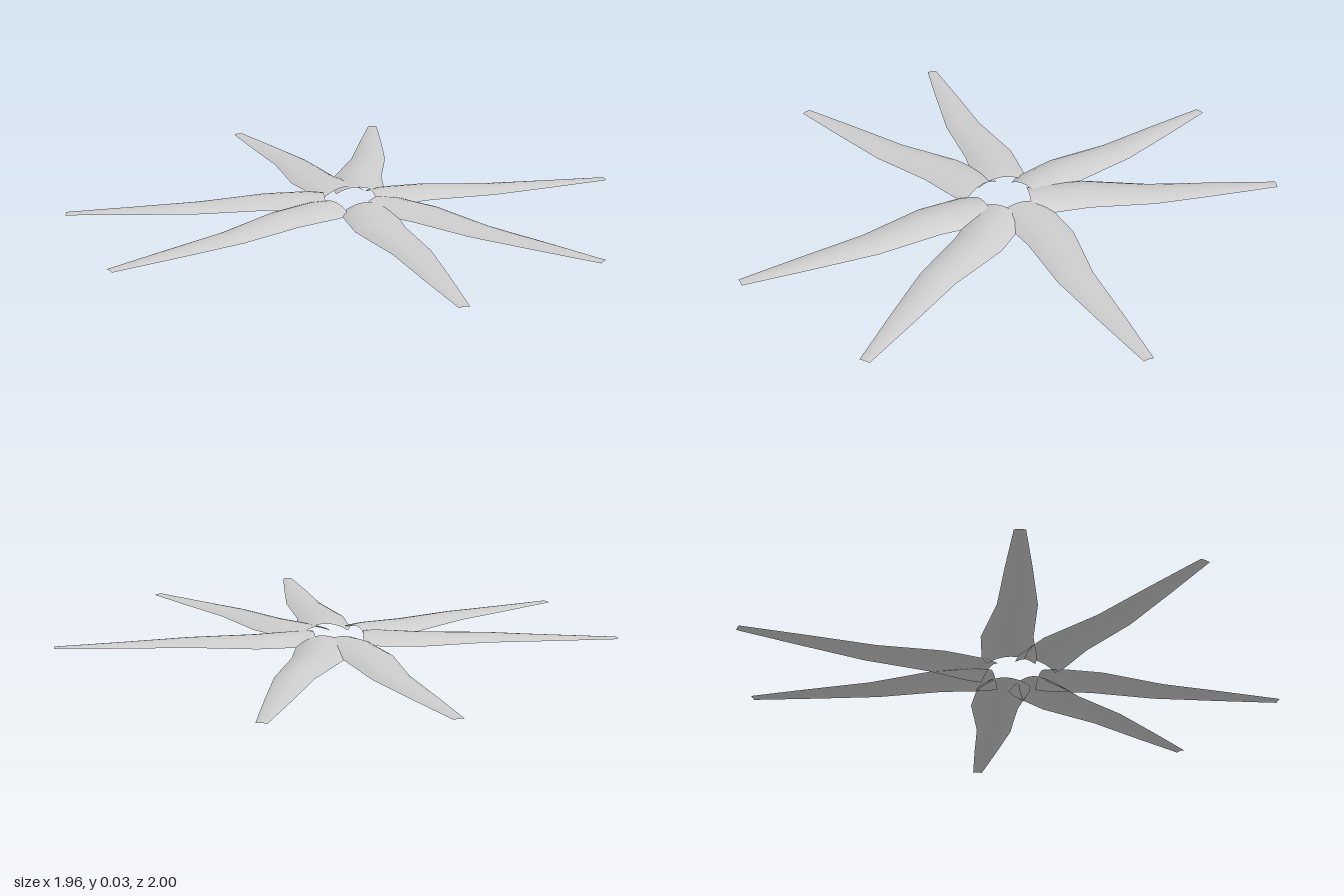
import * as THREE from 'three';

// Blade cross-sections from tip to root: distance from tip, width on the
// bulging side, width on the straight side, ridge height
const SECTIONS = [
  [0, 0.018, 0.018, 0.002],
  [0.226, 0.043, 0.043, 0.008],
  [0.465, 0.066, 0.066, 0.017],
  [0.7, 0.12, 0.058, 0.026],
  [0.86, 0.118, 0.075, 0.031],
  [0.91, 0.1, 0.07, 0.028],
];

// Tip position (x, z), inward direction (x, z), side of the bulge
const BLADES = [
  [-0.11, -0.997, 0.141, 0.99, 1],
  [0.457, -0.886, -0.427, 0.904, 1],
  [0.98, 0.113, -0.993, -0.12, 1],
  [0.513, 0.843, -0.51, -0.86, 1],
  [-0.061, 0.998, 0.096, -0.995, -1],
  [-0.958, 0.317, 0.959, -0.284, -1],
  [-0.976, -0.272, 0.965, 0.264, -1],
];

const ARC = 8; // steps across a blade

// Thin arched sheet, open below
function bladeGeometry([tx, tz, ux, uz, side]) {
  const positions = [];
  const index = [];
  for (const [d, bulge, straight, height] of SECTIONS) {
    for (let j = 0; j <= ARC; j++) {
      const t = side > 0 ? j / ARC : 1 - j / ARC;
      const v = side * THREE.MathUtils.lerp(bulge, -straight, t);
      const y = height * Math.pow(Math.sin(Math.PI * j / ARC), 0.8);
      positions.push(tx + ux * d - uz * v, Math.max(0, y), tz + uz * d + ux * v);
    }
  }
  const row = ARC + 1;
  for (let i = 0; i < SECTIONS.length - 1; i++) {
    for (let j = 0; j < ARC; j++) {
      const a = i * row + j;
      index.push(a, a + row, a + 1, a + 1, a + row, a + row + 1);
    }
  }
  const geometry = new THREE.BufferGeometry();
  geometry.setAttribute('position', new THREE.Float32BufferAttribute(positions, 3));
  geometry.setIndex(index);
  geometry.computeVertexNormals();
  return geometry;
}

export function createModel() {
  const group = new THREE.Group();
  group.name = 'bladeStar';
  const grey = new THREE.MeshStandardMaterial({ color: 0xcccccc, side: THREE.DoubleSide });
  grey.name = 'light grey';

  // Seven blades around an open centre
  BLADES.forEach((blade, i) => {
    const mesh = new THREE.Mesh(bladeGeometry(blade), grey);
    mesh.name = `blade${i + 1}`;
    group.add(mesh);
  });
  return group;
}
